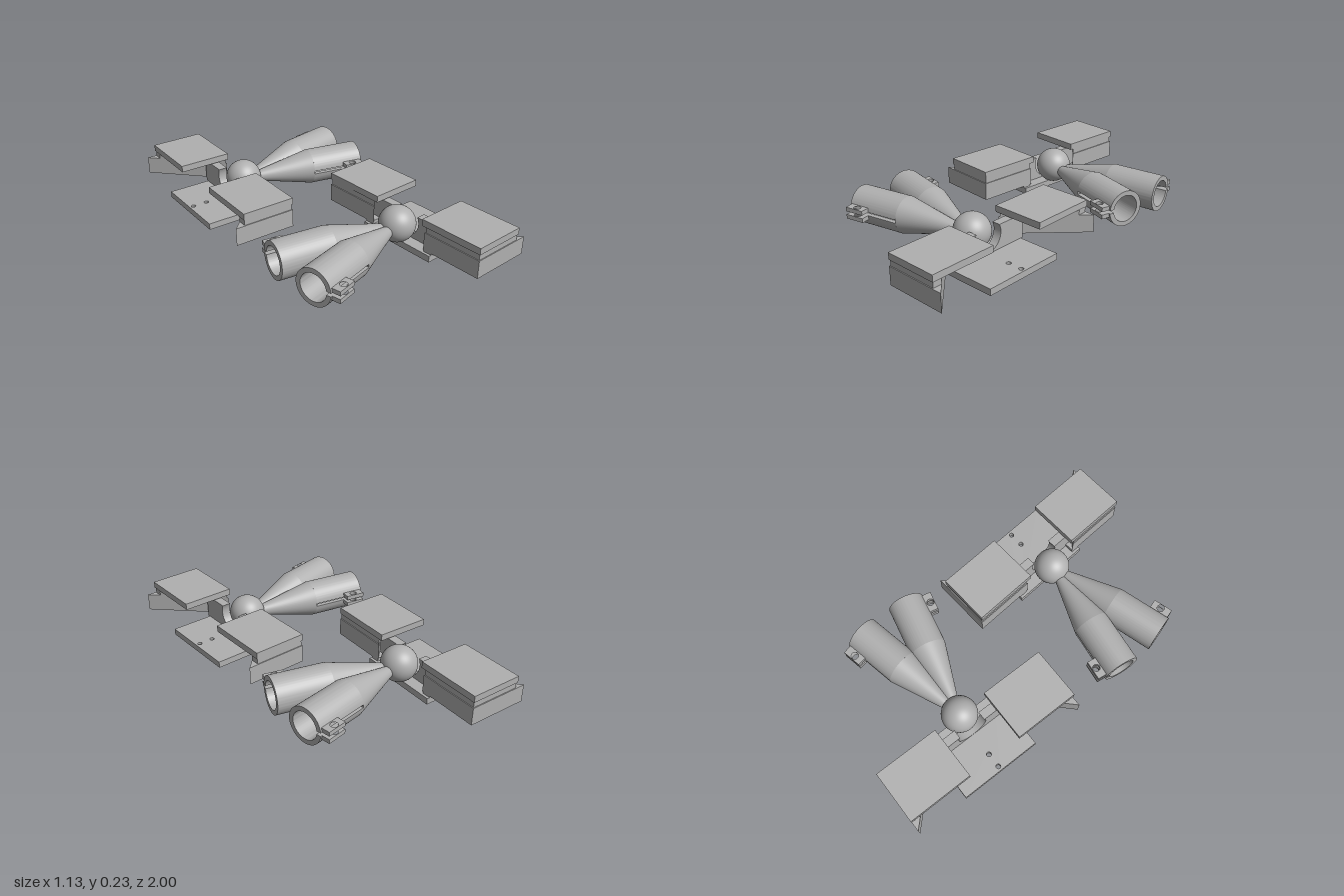
import * as THREE from 'three';
import { toCreasedNormals } from 'three/addons/utils/BufferGeometryUtils.js';

const grey = new THREE.MeshStandardMaterial({ color: 0xb0b0b0 });
grey.name = 'plain grey';

function part(parent, name, geometry, x = 0, y = 0, z = 0) {
  const mesh = new THREE.Mesh(geometry, grey);
  mesh.name = name;
  mesh.position.set(x, y, z);
  parent.add(mesh);
  return mesh;
}

const outline = (points) => new THREE.Shape(points.map(([a, b]) => new THREE.Vector2(a, b)));

// A flat outline in x and z, standing between two heights
function slab(shape, bottom, top) {
  const g = new THREE.ExtrudeGeometry(shape, { depth: top - bottom, bevelEnabled: false, curveSegments: 20 });
  return g.rotateX(Math.PI / 2).translate(0, top, 0);
}

function hole(shape, x, z, r) {
  const path = new THREE.Path();
  path.absarc(x, z, r, 0, Math.PI * 2, true);
  shape.holes.push(path);
}

// Slit clamping tube on a cone, running along +x
function clampTube(side) {
  const tube = new THREE.Group();
  tube.name = side > 0 ? 'frontClampTube' : 'backClampTube';
  const R = 0.102, r = 0.076, start = 0.41, end = 0.715, slit = 0.009;

  const cone = new THREE.CylinderGeometry(R, 0.028, start - 0.08, 48);
  part(tube, 'cone', cone.rotateZ(-Math.PI / 2), (start + 0.08) / 2);

  // Open ring with its gap on the outer side
  const mid = side > 0 ? Math.PI : 0;
  const a = Math.asin(slit / R), b = Math.asin(slit / r);
  const ring = new THREE.Shape();
  ring.absarc(0, 0, R, mid + a, mid + Math.PI * 2 - a, false);
  ring.absarc(0, 0, r, mid + Math.PI * 2 - b, mid + b, true);
  ring.closePath();
  const sleeve = new THREE.ExtrudeGeometry(ring, { depth: end - start, bevelEnabled: false, curveSegments: 48 });
  sleeve.rotateY(Math.PI / 2);
  part(tube, 'sleeve', toCreasedNormals(sleeve, 0.6), start);

  // Pair of bolt lugs either side of the slit
  for (const up of [-1, 1]) {
    const lug = outline([[0.595, side * 0.085], [0.705, side * 0.085], [0.705, side * 0.147], [0.595, side * 0.147]]);
    hole(lug, 0.647, side * 0.123, 0.02);
    const y = up * 0.021;
    part(tube, 'clampLug', slab(lug, y - 0.012, y + 0.012));
  }
  tube.position.y = 0.115;
  tube.rotation.y = -side * 0.21;
  return tube;
}

// Wing: flat top plate over a three-cornered body with a flared tip
function wing(side) {
  const g = new THREE.Group();
  g.name = side > 0 ? 'frontWing' : 'backWing';
  const s = (points) => outline(points.map(([x, z]) => [x, z * side]));
  part(g, 'topPlate', slab(s([[-0.31, 0.16], [-0.01, 0.16], [-0.01, 0.53], [-0.31, 0.53]]), 0.178, 0.215));
  part(g, 'upperBody', slab(s([[-0.305, 0.525], [-0.305, 0.475], [-0.015, 0.185], [-0.015, 0.525]]), 0.145, 0.178));
  part(g, 'lowerBody', slab(s([[-0.36, 0.53], [-0.01, 0.18], [-0.01, 0.53]]), 0.045, 0.145));
  return g;
}

function joint(name) {
  const g = new THREE.Group();
  g.name = name;
  part(g, 'ball', new THREE.SphereGeometry(0.1, 48, 32), 0, 0.126, 0);

  // Base plate with two screw holes
  const base = outline([[-0.36, -0.235], [0.005, -0.235], [0.005, 0.235], [-0.36, 0.235]]);
  hole(base, -0.335, 0, 0.013);
  hole(base, -0.253, 0, 0.013);
  part(g, 'basePlate', slab(base, 0, 0.036));

  // Notched wall holding the ball between the wings
  const wall = new THREE.Shape();
  wall.moveTo(-0.25, 0.035);
  wall.lineTo(0.25, 0.035);
  wall.lineTo(0.25, 0.17);
  wall.lineTo(0.08, 0.17);
  wall.absarc(0, 0.13, 0.089, 0.466, Math.PI - 0.466, true);
  wall.lineTo(-0.25, 0.17);
  wall.closePath();
  const wallGeometry = new THREE.ExtrudeGeometry(wall, { depth: 0.05, bevelEnabled: false, curveSegments: 32 });
  part(g, 'socketWall', wallGeometry.rotateY(Math.PI / 2), -0.115);

  for (const side of [-1, 1]) {
    g.add(wing(side), clampTube(side));
    // Foot joining each wing to the base
    part(g, 'wingFoot', new THREE.BoxGeometry(0.08, 0.03, 0.05), -0.05, 0.04, side * 0.21);
  }
  return g;
}

export function createModel() {
  const model = new THREE.Group();
  model.name = 'ballJointPair';
  const back = joint('backJoint');
  back.position.set(-0.208, 0, -0.47);
  const front = joint('frontJoint');
  front.position.set(0.16, 0, 0.468);
  front.rotation.y = Math.PI + 0.085;
  model.add(back, front);
  return model;
}
